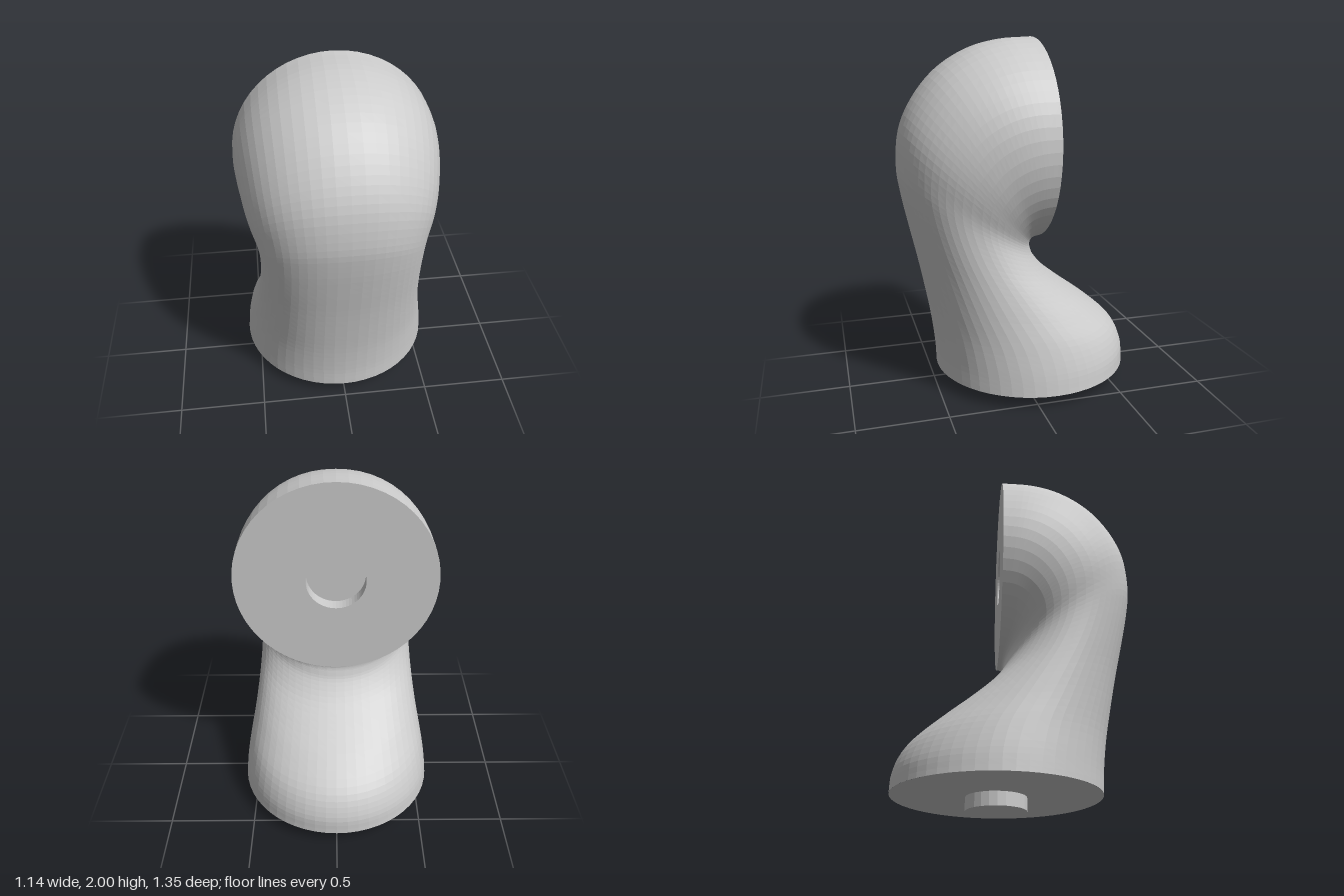
import * as THREE from 'three';

const STEPS = 52, SIDES = 56;
const BASE_Y = 0.075, AXIS_Z = -0.1, DISC_Y = 1.43, RADIUS = 0.57, PIN = 0.167;

// Cross-sections from base to rear disc: outer z, outer y, inner z, inner y, half width
const SECTIONS = [
  [0.475, 0.075, -0.67, 0.075, 0.572],
  [0.48, 0.2, -0.66, 0.19, 0.56],
  [0.50, 0.37, -0.60, 0.31, 0.535],
  [0.53, 0.54, -0.46, 0.435, 0.505],
  [0.57, 0.74, -0.31, 0.545, 0.48],
  [0.615, 0.94, -0.18, 0.65, 0.463],
  [0.655, 1.13, -0.10, 0.745, 0.457],
  [0.675, 1.29, -0.075, 0.80, 0.465],
  [0.655, 1.49, -0.068, 0.828, 0.495],
  [0.58, 1.66, -0.07, 0.843, 0.52],
  [0.45, 1.82, -0.074, 0.85, 0.54],
  [0.28, 1.93, -0.08, 0.855, 0.557],
  [0.1, 1.985, -0.09, 0.858, 0.567],
  [-0.1, 2, -0.1, 0.86, 0.57],
];

const spline = (points) => new THREE.CatmullRomCurve3(points, false, 'catmullrom', 0.5);
const signedPow = (v, k) => Math.sign(v) * Math.pow(Math.abs(v), k);

// Loft of ellipses spanning the outer and inner curves
function bodyGeometry() {
  const outer = spline(SECTIONS.map((s) => new THREE.Vector3(s[4], s[1], s[0])));
  const inner = spline(SECTIONS.map((s) => new THREE.Vector3(0, s[3], s[2])));
  const positions = [], index = [];
  for (let i = 0; i <= STEPS; i++) {
    const t = i / STEPS;
    const o = outer.getPoint(t), n = inner.getPoint(t);
    const cy = (o.y + n.y) / 2, cz = (o.z + n.z) / 2;
    for (let j = 0; j < SIDES; j++) {
      const a = (j / SIDES) * Math.PI * 2;
      // the outer half is slightly squarer along the middle of the bend
      const k = Math.cos(a) > 0 ? 1 - 0.12 * Math.sin(Math.PI * t) : 1;
      const c = signedPow(Math.cos(a), k), s = signedPow(Math.sin(a), k);
      positions.push(s * o.x, cy + c * (o.y - cy), cz + c * (o.z - cz));
    }
  }
  for (let i = 0; i < STEPS; i++) {
    for (let j = 0; j < SIDES; j++) {
      const j2 = (j + 1) % SIDES;
      const a = i * SIDES + j, b = i * SIDES + j2;
      index.push(a, b, a + SIDES, b, b + SIDES, a + SIDES);
    }
  }
  const g = new THREE.BufferGeometry();
  g.setAttribute('position', new THREE.Float32BufferAttribute(positions, 3));
  g.setIndex(index);
  g.computeVertexNormals();
  return g;
}

export function createModel() {
  const group = new THREE.Group();
  group.name = 'elbowJoint';
  const material = new THREE.MeshStandardMaterial({ color: 0xcccccc, flatShading: true });
  const thin = new THREE.MeshStandardMaterial({
    color: 0xcccccc, flatShading: true, side: THREE.DoubleSide,
  });
  const add = (name, geometry, y, z, mat = material) => {
    const mesh = new THREE.Mesh(geometry, mat);
    mesh.name = name;
    mesh.position.set(0, y, z);
    group.add(mesh);
  };

  add('curvedBody', bodyGeometry(), 0, 0);

  // Underside and its locating peg
  add('baseFace', new THREE.CircleGeometry(0.572, SIDES).rotateX(Math.PI / 2), BASE_Y, -0.0975);
  add('basePeg', new THREE.CylinderGeometry(PIN, PIN, BASE_Y, 24), BASE_Y / 2, AXIS_Z);

  // Flat rear disc with a shallow socket
  const depth = 0.08;
  add('rearFace', new THREE.RingGeometry(PIN, RADIUS, SIDES).rotateY(Math.PI), DISC_Y, AXIS_Z);
  add('socketWall',
    new THREE.CylinderGeometry(PIN, PIN, depth, SIDES, 1, true).rotateX(Math.PI / 2),
    DISC_Y, AXIS_Z + depth / 2, thin);
  add('socketFloor', new THREE.CircleGeometry(PIN, SIDES).rotateY(Math.PI), DISC_Y, AXIS_Z + depth);
  return group;
}
